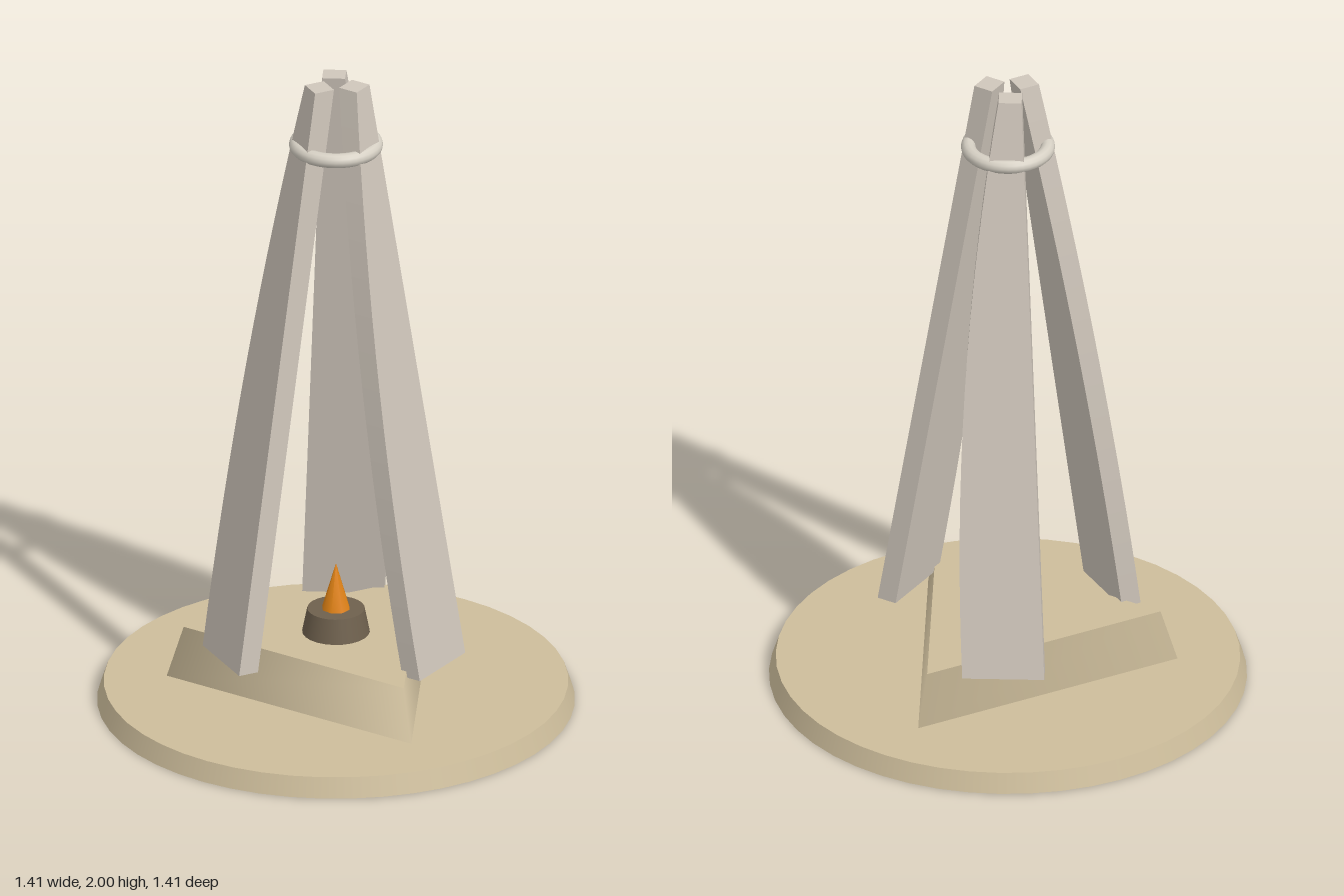
import * as THREE from 'three';

const mat = (name, color) => {
  const m = new THREE.MeshStandardMaterial({ color });
  m.name = name;
  return m;
};

// Tapered leg: one straight edge, one bowed edge, leaning inward with height
function legGeometry() {
  const bottom = 0.2, top = 2, steps = 16, thickness = 0.062;
  const span = top - bottom;
  const shape = new THREE.Shape();
  shape.moveTo(-0.122, bottom);
  shape.lineTo(0.12, bottom);
  shape.lineTo(0.043, top);
  for (let i = steps; i > 0; i--) {
    const t = i / steps;
    shape.lineTo(-0.122 - 0.086 * t + 0.183 * t * t, bottom + span * t);
  }
  const geo = new THREE.ExtrudeGeometry(shape, { depth: thickness, bevelEnabled: false });
  const p = geo.attributes.position;
  for (let i = 0; i < p.count; i++) {
    const t = (p.getY(i) - bottom) / span;
    p.setZ(i, p.getZ(i) + THREE.MathUtils.lerp(0.316, 0.028, t));
  }
  geo.computeVertexNormals();
  return geo;
}

export function createModel() {
  const model = new THREE.Group();
  model.name = 'monument';

  const sand = mat('sandstone', 0xcdbd9b);
  const stone = mat('pale stone', 0xcfc6bb);
  const ringStone = mat('ring stone', 0xd6d0c4);
  const bronze = mat('dark bronze', 0x6e604d);
  const fire = mat('flame orange', 0xe08214);

  const add = (name, geo, material, y) => {
    const mesh = new THREE.Mesh(geo, material);
    mesh.name = name;
    mesh.position.y = y;
    model.add(mesh);
    return mesh;
  };

  // Round base and triangular plinth
  add('base', new THREE.CylinderGeometry(0.685, 0.705, 0.06, 48), sand, 0.03);
  add('plinth', new THREE.CylinderGeometry(0.45, 0.5, 0.16, 3), sand, 0.14);

  // Fire bowl and flame
  add('fireBowl', new THREE.CylinderGeometry(0.085, 0.1, 0.075, 24), bronze, 0.2575);
  add('flame', new THREE.ConeGeometry(0.043, 0.145, 8), fire, 0.3675);

  // Three legs around the centre
  const leg = legGeometry();
  for (let i = 0; i < 3; i++) {
    add('leg' + (i + 1), leg, stone, 0).rotation.y = Math.PI / 6 + (i * Math.PI * 2) / 3;
  }

  // Ring binding the legs
  add('ring', new THREE.TorusGeometry(0.117, 0.022, 12, 40), ringStone, 1.8).rotation.x = Math.PI / 2;

  return model;
}
